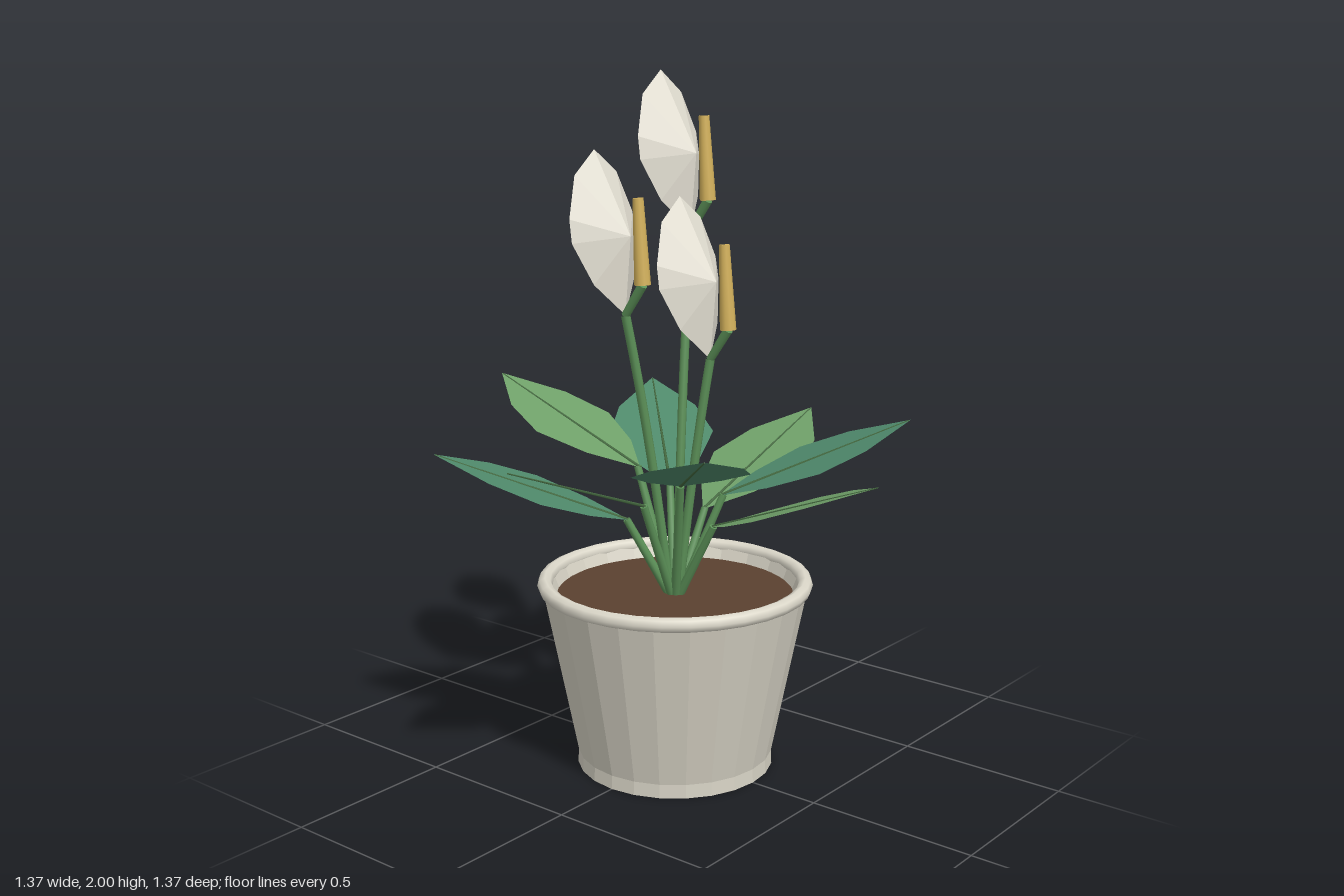
import * as THREE from 'three';

const mat = (name, color, extra = {}) => {
  const m = new THREE.MeshStandardMaterial({ color, ...extra });
  m.name = name;
  return m;
};

export function createModel() {
  const plant = new THREE.Group();
  plant.name = 'pottedPlant';
  const two = { side: THREE.DoubleSide, flatShading: true };
  const pot = mat('potCream', 0xd6d2c4, { flatShading: true });
  const rimMat = mat('rimCream', 0xdcd8ca);
  const soil = mat('soilBrown', 0x5a4130);
  const lightLeaf = mat('lightGreen', 0x6fa069, two);
  const tealLeaf = mat('tealGreen', 0x4f896b, two);
  const stemMat = mat('stemGreen', 0x5c9158);
  const ribMat = mat('ribGreen', 0x44693f);
  const petal = mat('petalCream', 0xe3dfd2, two);
  const gold = mat('spikeGold', 0xd4b25c);

  const add = (parent, name, geo, material) => {
    const mesh = new THREE.Mesh(geo, material);
    mesh.name = name;
    parent.add(mesh);
    return mesh;
  };
  const V = (x, y, z) => new THREE.Vector3(x, y, z);

  // Round rod between two points
  const rod = (parent, name, a, b, r0, r1, material, sides = 8) => {
    const dir = b.clone().sub(a);
    const mesh = add(parent, name, new THREE.CylinderGeometry(r1, r0, dir.length(), sides), material);
    mesh.position.copy(a).add(b).multiplyScalar(0.5);
    mesh.quaternion.setFromUnitVectors(V(0, 1, 0), dir.normalize());
    return mesh;
  };

  // Pot with inner wall, rolled rim and soil
  const profile = [[0, 0], [0.288, 0], [0.286, 0.04], [0.385, 0.54], [0.36, 0.55], [0.34, 0.5]]
    .map(([r, y]) => new THREE.Vector2(r, y));
  add(plant, 'pot', new THREE.LatheGeometry(profile, 24), pot);
  const rim = add(plant, 'rim', new THREE.TorusGeometry(0.378, 0.022, 8, 32), rimMat);
  rim.rotation.x = Math.PI / 2;
  rim.position.y = 0.549;
  const earth = add(plant, 'soil', new THREE.CylinderGeometry(0.345, 0.335, 0.02, 32), soil);
  earth.position.y = 0.505;

  // Leaf blade: outline in plan, tilted upward towards the tip
  const half = [[0.25, 0.1], [0.39, 0.16], [0.53, 0.12]];
  const outline = [[0.13, 0], ...half.map(([r, w]) => [r, -w]), [0.685, 0], ...half.slice().reverse()];
  const blade = new THREE.ShapeGeometry(new THREE.Shape(outline.map(p => new THREE.Vector2(...p))));
  blade.rotateX(-Math.PI / 2);
  const bp = blade.attributes.position;
  const rise = r => (r - 0.13) * 0.38;
  for (let i = 0; i < bp.count; i++) bp.setY(i, rise(bp.getX(i)));
  blade.computeVertexNormals();

  // Eight leaves in a ring, at three alternating heights
  for (let i = 0; i < 8; i++) {
    const leaf = new THREE.Group();
    leaf.name = 'leaf' + (i + 1);
    leaf.rotation.y = i * Math.PI / 4;
    const y = 0.737 + (i % 3) * 0.066;
    add(leaf, 'leafBlade', blade, i % 2 ? tealLeaf : lightLeaf).position.y = y;
    rod(leaf, 'leafRib', V(0.13, y, 0), V(0.68, y + rise(0.68), 0), 0.005, 0.002, ribMat, 6);
    rod(leaf, 'leafStalk', V(0.01, 0.5, 0), V(0.14, y + 0.003, 0), 0.014, 0.011, stemMat);
    plant.add(leaf);
  }

  // Flower hood: fan of facets around a centre pushed forward; [half width, height, depth]
  const side = [[0.085, 0.09, -0.04], [0.134, 0.205, -0.075], [0.132, 0.27, -0.085], [0.087, 0.385, -0.105]];
  const ring = [[0, 0, 0], ...side, [0, 0.45, -0.11],
    ...side.slice().reverse().map(([x, y, z]) => [-x, y, z])];
  const fan = [];
  ring.forEach((p, i) => fan.push(0, 0.22, 0.02, ...p, ...ring[(i + 1) % ring.length]));
  const hood = new THREE.BufferGeometry();
  hood.setAttribute('position', new THREE.Float32BufferAttribute(fan, 3));
  hood.computeVertexNormals();

  // Three flowers, placed by the foot of the hood
  [[0.158, 1.55, -0.07], [-0.135, 1.342, -0.067], [0.046, 1.21, 0.09]].forEach(([x, y, z], i) => {
    const flower = new THREE.Group();
    flower.name = 'flower' + (i + 1);
    const foot = V(x, y, z);
    const path = new THREE.QuadraticBezierCurve3(V(x * 0.1, 0.5, z * 0.1), V(x * 0.45, 0.5 + (y - 0.5) * 0.55, z * 0.5), foot);
    add(flower, 'flowerStem', new THREE.TubeGeometry(path, 8, 0.013, 8), stemMat);
    const base = V(x, y + 0.09, z + 0.062);
    rod(flower, 'flowerNeck', foot, base, 0.012, 0.014, stemMat);
    rod(flower, 'spike', base, base.clone().add(V(0, 0.236, -0.015)), 0.023, 0.015, gold, 10);
    add(flower, 'hood', hood, petal).position.copy(foot);
    plant.add(flower);
  });

  return plant;
}
